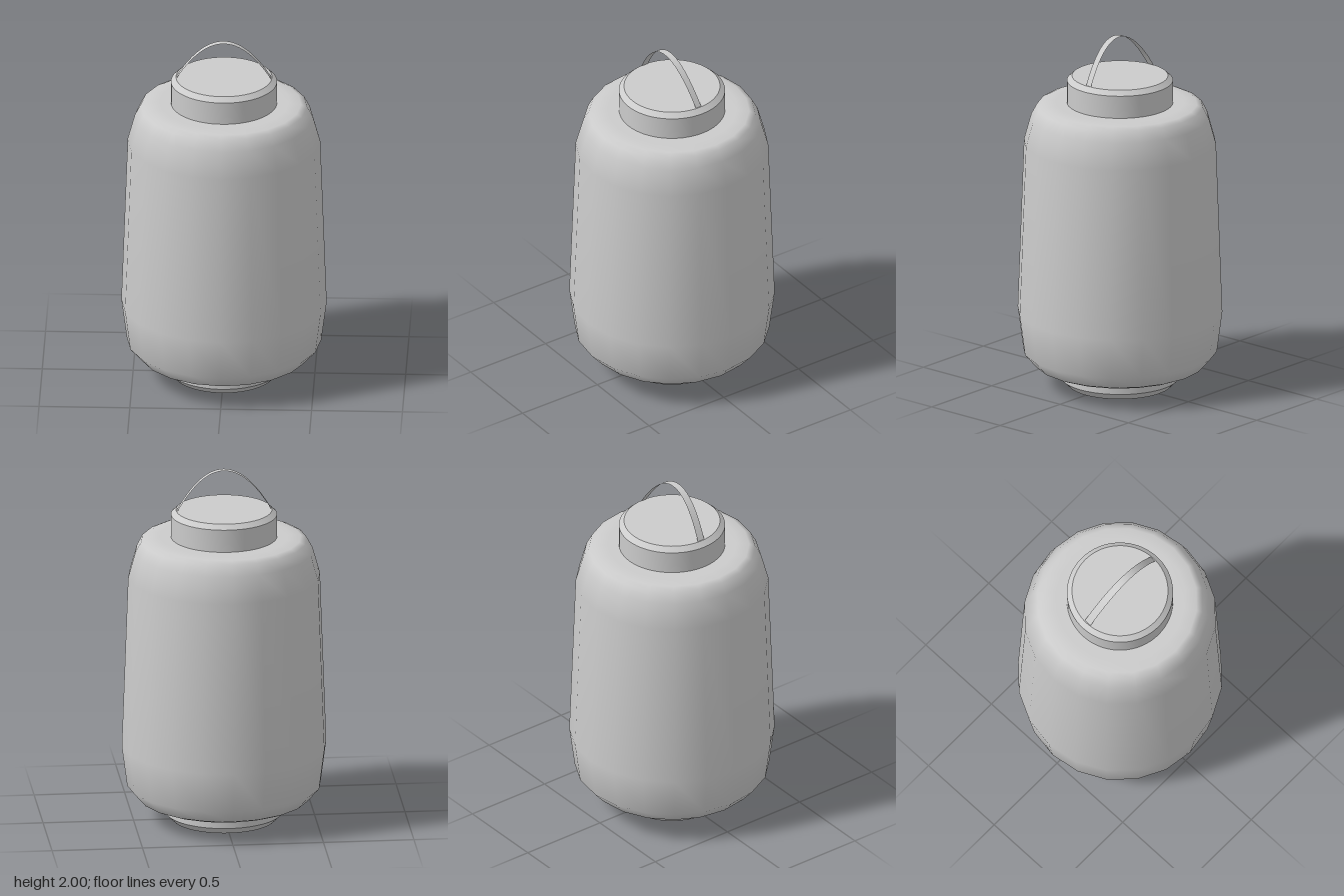
import * as THREE from 'three';
import { toCreasedNormals } from 'three/addons/utils/BufferGeometryUtils.js';

const material = new THREE.MeshStandardMaterial({ color: 0xcccccc });
const ribbonMaterial = new THREE.MeshStandardMaterial({ color: 0xcccccc, side: THREE.DoubleSide });

// Turned part from [radius, height] pairs listed bottom to top
function turned(name, profile, sides, sharp) {
  const points = profile.map(([r, y]) => new THREE.Vector2(r, y));
  let geometry = new THREE.LatheGeometry(points, sides);
  if (sharp) geometry = toCreasedNormals(geometry, 0.5);
  const mesh = new THREE.Mesh(geometry, material);
  mesh.name = name;
  return mesh;
}

// Thin ribbon bent into an arch that leans slightly forward
function createHandle() {
  const geometry = new THREE.PlaneGeometry(2, 1, 32, 1);
  const p = geometry.attributes.position;
  for (let i = 0; i < p.count; i++) {
    const t = p.getX(i);
    const rise = 1 - t * t;
    const width = 0.04 - 0.004 * t;
    p.setXYZ(i, 0.26 * t, 1.778 + 0.222 * rise, 0.002 + 0.025 * rise - p.getY(i) * width);
  }
  geometry.computeVertexNormals();
  const mesh = new THREE.Mesh(geometry, ribbonMaterial);
  mesh.name = 'handle';
  return mesh;
}

export function createModel() {
  const group = new THREE.Group();
  group.name = 'paperLantern';

  // Softly shaded twenty-sided shade, widest near the bottom
  group.add(turned('shade', [
    [0, 0.105], [0.36, 0.105], [0.43, 0.108], [0.47, 0.125], [0.535, 0.2], [0.565, 0.43],
    [0.53, 1.4], [0.49, 1.545], [0.458, 1.605], [0.425, 1.62], [0.36, 1.626], [0, 1.626],
  ], 20, false));

  // Bevelled end rings with closed discs
  group.add(turned('baseRing', [
    [0, 0], [0.285, 0], [0.325, 0.04], [0.325, 0.12], [0, 0.12],
  ], 64, true));
  group.add(turned('topCap', [
    [0, 1.61], [0.292, 1.61], [0.292, 1.754], [0.264, 1.78], [0, 1.78],
  ], 64, true));

  group.add(createHandle());
  return group;
}
